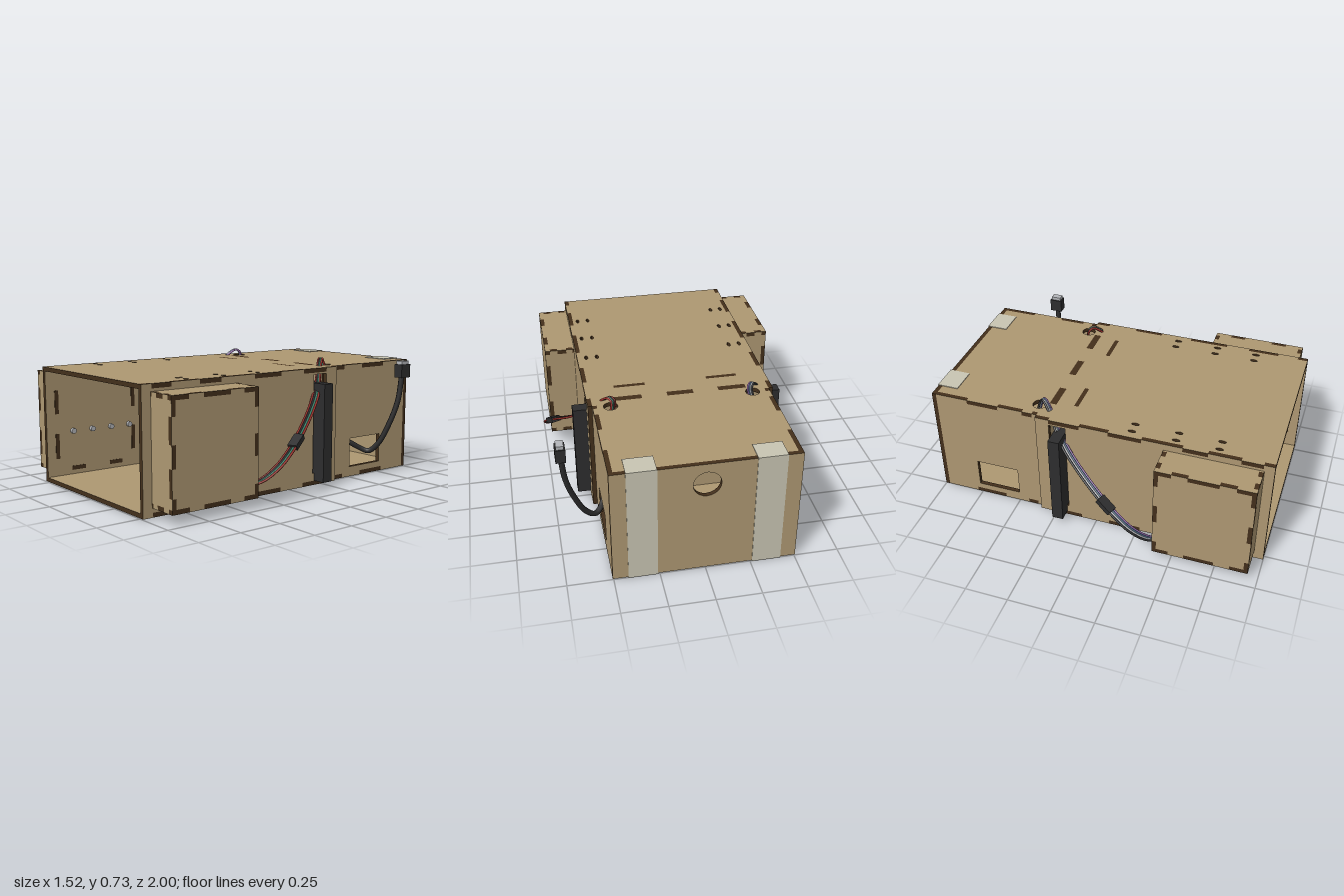
import * as THREE from 'three';

const mat = (name, color) => Object.assign(new THREE.MeshStandardMaterial({ color }), { name });
const wood = mat('wood', 0xae9872), burnt = mat('burntEdge', 0x432f1b), black = mat('blackPlastic', 0x2d2d2e);
const tape = mat('tape', 0xc8c5b3), metal = mat('metal', 0xb4b6ba), red = mat('redWire', 0x96302a);
const green = mat('greenWire', 0x3f8a72), purple = mat('purpleWire', 0x8a62a0), blue = mat('blueWire', 0x46607c);
const T = 0.025;   // sheet thickness
const H = 0.685;   // cabinet height

// Sheet outline: counter-clockwise corners; each edge may have spans stepped inward (+d) or outward (-d)
function outline(corners, steps = {}) {
  const pts = [];
  corners.forEach((c, i) => {
    const a = new THREE.Vector2(...c), b = new THREE.Vector2(...corners[(i + 1) % corners.length]);
    const dir = b.clone().sub(a).normalize();
    const inward = new THREE.Vector2(-dir.y, dir.x);
    const axis = Math.abs(dir.x) > 0.5 ? 'x' : 'y', sign = Math.sign(dir[axis]);
    pts.push(a);
    const { d = 0, spans = [] } = steps[i] || {};
    spans.map(s => [...s].sort((p, q) => (p - q) * sign)).sort((p, q) => (p[0] - q[0]) * sign)
      .forEach(([p, q]) => {
        const at = (v, off) => {
          const r = a.clone();
          r[axis] = v;
          return r.addScaledVector(inward, off);
        };
        pts.push(at(p, 0), at(p, d), at(q, d), at(q, 0));
      });
  });
  return new THREE.Shape(pts);
}
const rect = (x0, y0, x1, y1) => [[x0, y0], [x1, y0], [x1, y1], [x0, y1]];
const hole = (...r) => new THREE.Path(rect(...r).map(p => new THREE.Vector2(...p)));
const oval = (x, y, rx, ry) => new THREE.Path().absellipse(x, y, rx, ry, 0, Math.PI * 2);

// Cut sheet lying across the given axis: 'x' shape is (z, y), 'y' shape is (x, -z), 'z' shape is (x, y)
function sheet(axis, pos, corners, steps, holes = [], depth = T) {
  const shape = outline(corners, steps);
  shape.holes.push(...holes);
  const g = new THREE.ExtrudeGeometry(shape, { depth, bevelEnabled: false, curveSegments: 10 });
  if (axis === 'x') g.rotateY(-Math.PI / 2).translate(pos + depth, 0, 0);
  if (axis === 'y') g.rotateX(-Math.PI / 2).translate(0, pos, 0);
  if (axis === 'z') g.translate(0, 0, pos);
  return g;
}
function box(x0, x1, y0, y1, z0, z1) {
  return new THREE.BoxGeometry(x1 - x0, y1 - y0, z1 - z0).translate((x0 + x1) / 2, (y0 + y1) / 2, (z0 + z1) / 2);
}
// Mirror a geometry across x = 0, keeping faces outward
function mirrorX(geo) {
  const g = geo.index ? geo.toNonIndexed() : geo.clone();
  g.scale(-1, 1, 1);
  for (const at of Object.values(g.attributes)) {
    const n = at.itemSize, a = at.array;
    for (let i = 0; i < at.count; i += 3)
      for (let k = 0; k < n; k++) {
        const p = (i + 1) * n + k, q = (i + 2) * n + k;
        [a[p], a[q]] = [a[q], a[p]];
      }
  }
  return g;
}
const tube = (pts, r, seg = 60) =>
  new THREE.TubeGeometry(new THREE.CatmullRomCurve3(pts.map(p => new THREE.Vector3(...p))), seg, r, 8);

export function createModel() {
  const root = new THREE.Group();
  root.name = 'speakerCabinet';
  const cut = [wood, burnt];
  const add = (name, geo, m) => {
    const mesh = new THREE.Mesh(geo, m);
    mesh.name = name;
    root.add(mesh);
    return mesh;
  };
  const pair = (name, geo, m) => {
    add(name + 'Left', geo, m);
    add(name + 'Right', mirrorX(geo), m);
  };

  // Top and bottom sheets, with finger tabs reaching into the side walls
  const frontTabs = [[0.82, 0.94], [0.5, 0.64], [0.08, 0.27], [-0.27, -0.09]];
  const backTabs = [[-0.44, -0.38], [-0.78, -0.59]];
  const flip = spans => spans.map(([a, b]) => [-a, -b]);
  const plan = [[-0.505, -1], [0.505, -1], [0.505, 0.35], [0.48, 0.35], [0.48, 0.975],
    [-0.48, 0.975], [-0.48, 0.35], [-0.505, 0.35]];
  const planTabs = {};
  [1, 7].forEach(i => { planTabs[i] = { d: -T, spans: flip(frontTabs) }; });
  [3, 5].forEach(i => { planTabs[i] = { d: -T, spans: flip(backTabs) }; });
  const slots1 = [[-0.36, -0.18], [0.18, 0.36]];
  const slots2 = [[-0.38, -0.22], [-0.075, 0.075], [0.22, 0.38]];
  const slotHoles = () => [
    ...slots1.map(([a, b]) => hole(a, 0.155, b, 0.18)),
    ...slots2.map(([a, b]) => hole(a, 0.28, b, 0.32))];
  const topHoles = slotHoles();
  for (const s of [-1, 1]) {
    topHoles.push(oval(s * 0.405, 0.37, 0.04, 0.04));
    for (const x of [0.41, 0.475])
      for (const z of [0.2, 0.45, 0.69]) topHoles.push(oval(s * x, -z, 0.01, 0.022));
  }
  add('topSheet', sheet('y', H - T, plan, planTabs, topHoles), cut);
  add('bottomSheet', sheet('y', 0, plan, planTabs, slotHoles()), cut);

  // Side walls: wide front part with the screen slot, narrower rear part with a cable window
  const notch = spans => ({ 0: { d: T, spans }, 2: { d: T, spans } });
  pair('frontSideWall', sheet('x', 0.505, rect(-0.35, 0, 1, H), notch(frontTabs),
    [hole(-0.27, 0.07, -0.17, 0.65)]), cut);
  pair('rearSideWall', sheet('x', 0.48, rect(-0.975, 0, -0.35, H), notch(backTabs),
    [hole(-0.76, 0.06, -0.5, 0.235)]), cut);
  add('backWall', sheet('z', -1, rect(-0.505, 0, 0.505, H), {}, [oval(0, 0.56, 0.075, 0.075)]), cut);

  // Inner partitions, tabbed through the top and bottom
  const tabs = spans => ({ 0: { d: -T, spans }, 2: { d: -T, spans } });
  add('screenFrame', sheet('z', -0.18, rect(-0.505, T, 0.505, H - T), tabs(slots1),
    [hole(-0.475, 0.085, 0.47, 0.575)]), cut);
  add('rearPartition', sheet('z', -0.32, rect(-0.48, T, 0.48, H - T), tabs(slots2), [], 0.04), cut);
  add('screen', box(-0.607, 0.607, 0.026, 0.6, -0.247, -0.181), black);

  // Speaker boxes on both sides
  const yTabs = [[0.13, 0.28], [0.4, 0.54]], zTabs = [[0.49, 0.58], [0.75, 0.84]];
  const xTabs = [[0.54, 0.58], [0.635, 0.68]];
  const out = spans => ({ d: -T, spans }), into = spans => ({ d: T, spans });
  pair('speakerBoxSide', sheet('x', 0.685, rect(0.42, 0.075, 0.92, 0.62),
    { 0: out(zTabs), 1: out(yTabs), 2: out(zTabs), 3: out(yTabs) }), cut);
  for (const [name, y] of [['Top', 0.62], ['Bottom', 0.05]])
    pair('speakerBox' + name, sheet('y', y, rect(0.53, -0.945, 0.71, -0.395),
      { 0: into(xTabs), 1: into(flip(zTabs)), 2: into(xTabs) }), cut);
  for (const [name, z] of [['Front', 0.92], ['Back', 0.395]])
    pair('speakerBox' + name, sheet('z', z, rect(0.53, 0.075, 0.71, 0.62),
      { 0: out(xTabs), 1: into(yTabs), 2: out(xTabs) }), cut);
  pair('speakerBoxCableHole', new THREE.CylinderGeometry(0.02, 0.02, 0.004, 16).translate(0.64, 0.049, 0.46), burnt);

  // Bolts and box tabs showing on the inside of the side walls
  for (const z of [0.83, 0.7, 0.57, 0.44])
    pair('bolt', new THREE.CylinderGeometry(0.016, 0.016, 0.022, 12).rotateZ(Math.PI / 2).translate(0.495, 0.29, z), metal);
  for (const z of [0.407, 0.932])
    for (const [a, b] of yTabs)
      pair('innerTab', box(0.502, 0.506, a, b, z - 0.012, z + 0.012), burnt);
  for (const y of [0.0625, 0.6325])
    for (const [a, b] of zTabs)
      pair('innerTab', box(0.502, 0.506, y - 0.012, y + 0.012, a, b), burnt);

  // Tape strips wrapped round the back
  pair('tapeBack', box(0.26, 0.42, -0.004, H + 0.004, -1.004, -1), tape);
  pair('tapeTop', box(0.26, 0.42, H, H + 0.004, -1, -0.88), tape);
  pair('tapeBottom', box(0.26, 0.42, -0.004, 0, -1, -0.88), tape);

  // Wire bundles from the top holes, out through the side slots, to the speaker boxes
  const path = [[0.4, 0.64, -0.38], [0.39, 0.71, -0.36], [0.405, 0.722, -0.34], [0.435, 0.69, -0.3],
    [0.47, 0.63, -0.26], [0.545, 0.54, -0.172], [0.6, 0.46, -0.08], [0.675, 0.365, 0.06],
    [0.725, 0.285, 0.18], [0.738, 0.21, 0.28], [0.715, 0.15, 0.36], [0.68, 0.12, 0.41]];
  const bundles = [[1, [red, black, green, red]], [-1, [purple, blue, metal, black]]];
  for (const [s, colours] of bundles) {
    colours.forEach((m, i) => {
      const pts = path.map(([x, y, z], k) => {
        const o = (i - 1.5) * (k < 5 ? 0.007 : 0.011);
        return [s * (x + o), y, z - o * 0.4];
      });
      add('speakerWire', tube(pts, 0.0065), m);
    });
    const joint = add('wireConnector', new THREE.BoxGeometry(0.055, 0.032, 0.1), black);
    joint.position.set(s * 0.705, 0.32, 0.125);
    joint.lookAt(s * 0.74, 0.265, 0.215);
  }

  // Power cable from the rear window, ending in a plug
  add('powerCable', tube([[0.36, 0.26, -0.46], [0.47, 0.21, -0.52], [0.51, 0.165, -0.59], [0.545, 0.15, -0.62],
    [0.6, 0.2, -0.645], [0.66, 0.33, -0.675], [0.7, 0.47, -0.7], [0.717, 0.63, -0.71]], 0.016), black);
  add('plugBody', box(0.69, 0.745, 0.612, 0.69, -0.75, -0.675), black);
  add('plugTip', box(0.697, 0.738, 0.69, 0.71, -0.742, -0.683), metal);
  return root;
}
